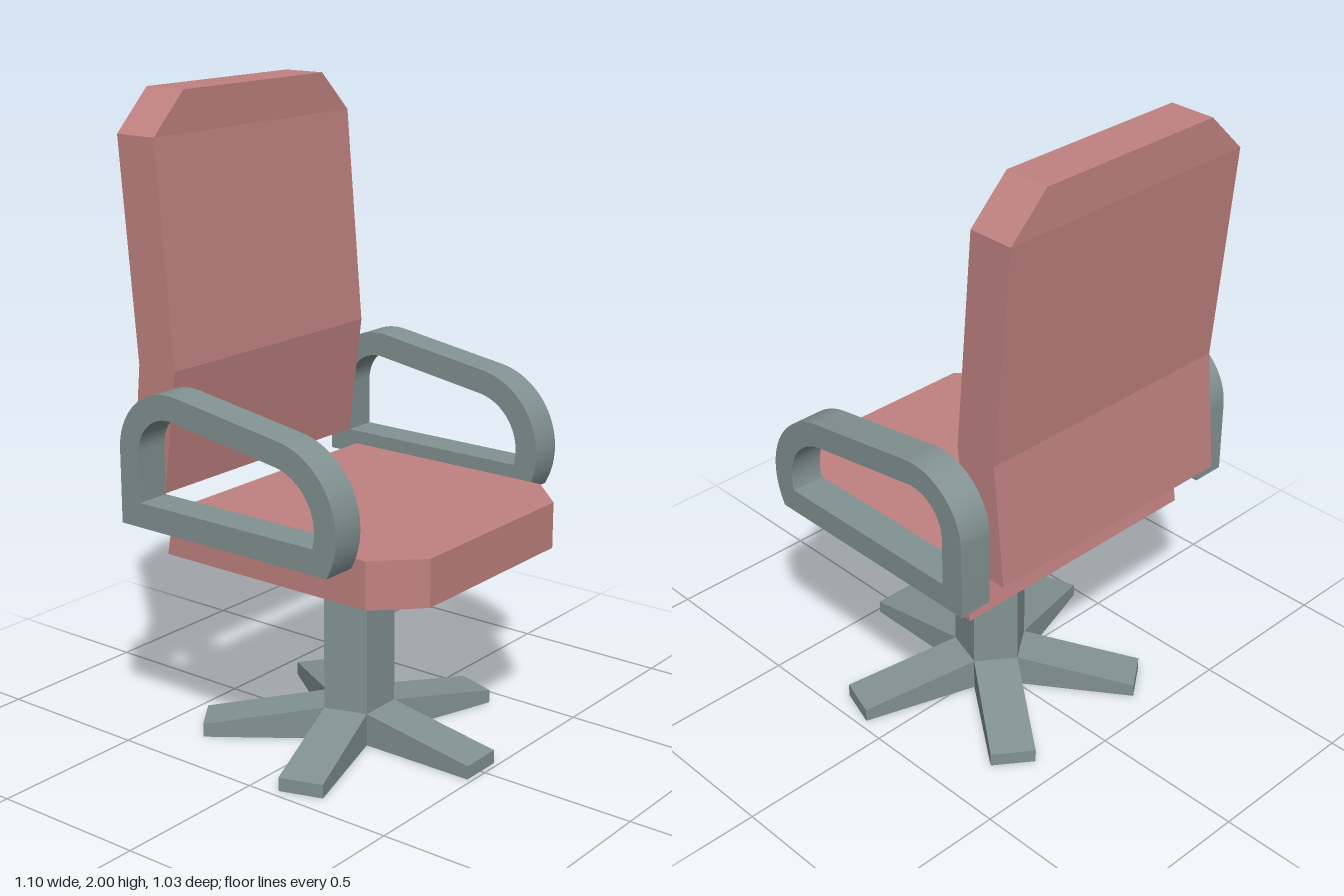
import * as THREE from 'three';
import { toCreasedNormals } from 'three/addons/utils/BufferGeometryUtils.js';

// Closed solid through four-cornered rings, each counter-clockwise seen from the last ring's end
function loft(rings) {
  const pos = [];
  const quad = (a, b, c, d) => pos.push(...a, ...b, ...c, ...a, ...c, ...d);
  for (let r = 0; r < rings.length - 1; r++) {
    for (let i = 0; i < 4; i++) {
      const j = (i + 1) % 4;
      quad(rings[r][i], rings[r][j], rings[r + 1][j], rings[r + 1][i]);
    }
  }
  quad(...[...rings[0]].reverse());
  quad(...rings[rings.length - 1]);
  const geo = new THREE.BufferGeometry();
  geo.setAttribute('position', new THREE.Float32BufferAttribute(pos, 3));
  geo.computeVertexNormals();
  return geo;
}

// Extrude a side profile drawn as (z, y), centred on x = 0
function extrudeSide(shape, width) {
  return new THREE.ExtrudeGeometry(shape, { depth: width, bevelEnabled: false, curveSegments: 16 })
    .translate(0, 0, -width / 2)
    .rotateY(-Math.PI / 2);
}

// D-shaped armrest outline; inset moves the whole outline inward
function armOutline(path, inset) {
  const tilt = 0.153; // slope of the top bar
  const rearR = 0.193 - inset, frontR = 0.242 - inset;
  const bottom = 0.742 + inset;
  const frontEnd = Math.asin((bottom - 0.864) / frontR);
  path.moveTo(-0.44 + inset, bottom);
  path.lineTo(0.128 + frontR * Math.cos(frontEnd), bottom);
  path.absarc(0.128, 0.864, frontR, frontEnd, Math.PI / 2 - tilt, false);
  path.absarc(-0.247, 0.971, rearR, Math.PI / 2 - tilt, Math.PI, false);
  path.closePath();
  return path;
}

export function createModel() {
  const group = new THREE.Group();
  const cushion = new THREE.MeshStandardMaterial({ color: 0xc08280, flatShading: true });
  const frame = new THREE.MeshStandardMaterial({ color: 0x829292, flatShading: true });
  const frameSmooth = new THREE.MeshStandardMaterial({ color: 0x829292 });

  const add = (name, geo, mat) => {
    const mesh = new THREE.Mesh(geo, mat);
    mesh.name = name;
    group.add(mesh);
    return mesh;
  };

  // Seat: [half width, z of bottom edge, z of top edge], rear to front
  const seatRows = [[0.442, -0.36, -0.335], [0.442, 0.388, 0.388], [0.315, 0.517, 0.517]];
  add('seat', loft(seatRows.map(([w, zb, zt]) => [
    [-w, 0.63, zb], [w, 0.63, zb], [w, 0.775, zt], [-w, 0.775, zt],
  ])), cushion);

  // Backrest: [y, half width, front z, rear z], bottom to top
  const backRows = [
    [0.82, 0.442, -0.365, -0.495],
    [1.2, 0.442, -0.315, -0.457],
    [1.875, 0.442, -0.372, -0.517],
    [2, 0.315, -0.372, -0.517],
  ];
  add('backrest', loft(backRows.map(([y, w, zf, zr]) => [
    [-w, y, zf], [w, y, zf], [w, y, zr], [-w, y, zr],
  ])), cushion);

  // Armrests
  const armShape = armOutline(new THREE.Shape(), 0);
  armShape.holes.push(armOutline(new THREE.Path(), 0.076));
  const armGeo = toCreasedNormals(extrudeSide(armShape, 0.108), 0.5);
  for (const [name, side] of [['leftArmrest', 1], ['rightArmrest', -1]]) {
    add(name, armGeo, frameSmooth).position.x = side * 0.496;
  }

  // Five-sided column with a flat face to the front
  const baseZ = 0.01, radius = 0.119;
  add('column', new THREE.CylinderGeometry(radius, radius, 0.63, 5, 1, false, Math.PI / 5)
    .translate(0, 0.315, baseZ), frame);

  // One tapering leg per column face
  const inner = radius * Math.cos(Math.PI / 5);
  const legShape = new THREE.Shape([
    [inner, 0], [0.475, 0], [0.475, 0.043], [inner, 0.105],
  ].map(([z, y]) => new THREE.Vector2(z, y)));
  const legGeo = extrudeSide(legShape, 2 * radius * Math.sin(Math.PI / 5));
  for (let i = 0; i < 5; i++) {
    const leg = add('baseLeg' + (i + 1), legGeo, frame);
    leg.rotation.y = i * Math.PI * 2 / 5;
    leg.position.z = baseZ;
  }
  return group;
}
